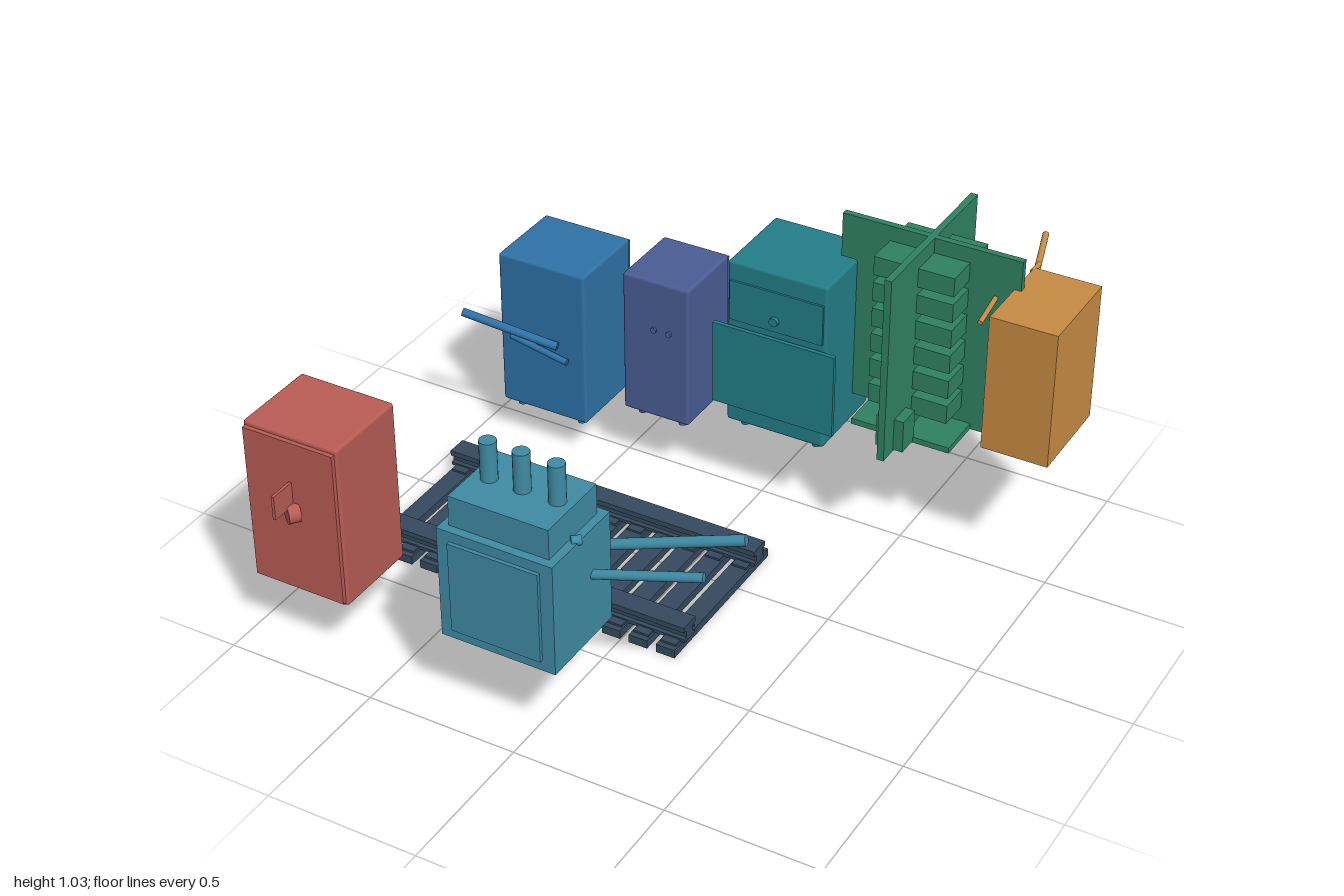
import * as THREE from 'three';
import { RoundedBoxGeometry } from 'three/addons/geometries/RoundedBoxGeometry.js';

const V = (x, y, z) => new THREE.Vector3(x, y, z);

// group with its own colour and helpers for adding parts
function unit(name, color) {
  const group = new THREE.Group();
  group.name = name;
  const material = new THREE.MeshStandardMaterial({ color });
  const add = (part, geometry) => {
    const m = new THREE.Mesh(geometry, material);
    m.name = part;
    group.add(m);
    return m;
  };
  // box from its min and max on each axis
  const box = (part, x0, x1, y0, y1, z0, z1, round = 0) => {
    const w = x1 - x0, h = y1 - y0, d = z1 - z0;
    const g = round ? new RoundedBoxGeometry(w, h, d, 2, round) : new THREE.BoxGeometry(w, h, d);
    const m = add(part, g);
    m.position.set((x0 + x1) / 2, (y0 + y1) / 2, (z0 + z1) / 2);
    return m;
  };
  // cylinder between two points
  const rod = (part, a, b, r, sides = 16) => {
    const m = add(part, new THREE.CylinderGeometry(r, r, a.distanceTo(b), sides));
    m.position.copy(a).add(b).multiplyScalar(0.5);
    m.quaternion.setFromUnitVectors(V(0, 1, 0), b.clone().sub(a).normalize());
    return m;
  };
  return { group, add, box, rod };
}

// rounded cabinet on four feet with a thin door on one side (door = 1 front, -1 back)
function cabinet(name, color, [x0, x1, y0, y1, z0, z1], door) {
  const u = unit(name, color);
  u.box('body', x0, x1, y0, y1, z0, z1, 0.01);
  const zf = door > 0 ? z1 : z0;
  u.box('door', x0 + 0.008, x1 - 0.008, y0 + 0.015, y1 - 0.015,
    Math.min(zf, zf + door * 0.014), Math.max(zf, zf + door * 0.014));
  for (const x of [x0 + 0.045, x1 - 0.045])
    for (const z of [z0 + 0.045, z1 - 0.045])
      u.rod('foot', V(x, y0 - 0.028, z), V(x, y0 + 0.01, z), 0.014);
  return u;
}

function redCabinet() {
  const u = cabinet('redCabinet', 0xb85c55, [-0.96, -0.63, 0.22, 0.775, 0.61, 0.9], 1);
  u.box('handlePlate', -0.80, -0.79, 0.54, 0.62, 0.91, 1.0);
  u.rod('doorKnob', V(-0.775, 0.52, 0.91), V(-0.797, 0.52, 0.94), 0.03);
  u.rod('rearKnob', V(-0.795, 0.485, 0.602), V(-0.795, 0.485, 0.62), 0.01);
  return u.group;
}

function blueCabinet() {
  const u = cabinet('blueCabinet', 0x2e72a6, [-0.905, -0.585, 0.14, 0.698, -0.66, -0.37], -1);
  u.rod('upperLever', V(-0.998, 0.49, -0.29), V(-0.68, 0.42, -0.355), 0.014);
  u.rod('lowerLever', V(-0.855, 0.41, -0.355), V(-0.645, 0.37, -0.355), 0.011);
  return u.group;
}

function indigoCabinet() {
  const u = cabinet('indigoCabinet', 0x4a5d94, [-0.47, -0.23, 0.22, 0.728, -0.685, -0.42], -1);
  for (const x of [-0.355, -0.3]) {
    u.rod('frontButton', V(x, 0.55, -0.43), V(x, 0.55, -0.412), 0.01);
    u.rod('rearButton', V(x, 0.6, -0.69), V(x, 0.6, -0.704), 0.008);
  }
  u.rod('doorHandle', V(-0.435, 0.46, -0.69), V(-0.422, 0.46, -0.728), 0.013);
  return u.group;
}

function tealCabinet() {
  const u = cabinet('tealCabinet', 0x237d87, [-0.09, 0.255, 0.3, 0.885, -0.73, -0.42], -1);
  u.box('frontPanel', -0.13, 0.295, 0.37, 0.66, -0.412, -0.398);
  u.box('panelMount', 0, 0.17, 0.42, 0.6, -0.43, -0.41);
  u.box('drawerFront', -0.08, 0.245, 0.68, 0.82, -0.425, -0.413);
  u.rod('drawerKnob', V(0.08, 0.72, -0.42), V(0.08, 0.72, -0.4), 0.015);
  u.box('topTrim', -0.08, 0.245, 0.828, 0.874, -0.735, -0.722);
  return u.group;
}

// stack of blocks divided by two crossing plates
function greenTower() {
  const u = unit('greenTower', 0x2f8164);
  u.box('widePlate', 0.2, 0.8, 0.395, 1.035, -0.64, -0.618);
  u.box('crossPlate', 0.487, 0.51, 0.395, 1.035, -0.925, -0.325);
  u.box('basePlate', 0.33, 0.665, 0.395, 0.415, -0.795, -0.462);
  u.box('frontBox', 0.45, 0.542, 0.4, 0.51, -0.47, -0.39);
  for (let i = 0; i < 6; i++) {
    const y = 0.465 + i * 0.091;
    u.box('block', 0.362, 0.63, y, y + 0.064, -0.747, -0.51);
  }
  return u.group;
}

function orangeBox() {
  const u = unit('orangeBox', 0xc68b43);
  u.box('body', 0.778, 0.998, 0.47, 0.935, -0.765, -0.44);
  // tilted dials, each with a hub and a short shaft
  const axis = V(-0.32, 0, -0.95).normalize();
  for (const [x, y] of [[0.925, 0.8], [0.845, 0.61]]) {
    const c = V(x, y, -0.803);
    const at = (t) => c.clone().addScaledVector(axis, t);
    u.rod('dial', at(-0.009), at(0.009), 0.056, 24);
    u.rod('hub', at(0), at(0.028), 0.018);
    u.rod('shaft', at(-0.05), at(0), 0.012);
  }
  u.rod('longLever', V(0.785, 0.885, -0.75), V(0.715, 0.918, -0.997), 0.01);
  u.rod('shortLever', V(0.728, 0.872, -0.49), V(0.715, 0.893, -0.675), 0.008);
  u.rod('peg', V(0.778, 0.928, -0.75), V(0.778, 0.928, -0.805), 0.008);
  return u.group;
}

function switchBox() {
  const u = unit('switchBox', 0x3f8ba3);
  u.box('body', -0.26, 0.122, 0.3, 0.675, 0.645, 0.953);
  u.box('frontDoor', -0.218, 0.08, 0.337, 0.642, 0.95, 0.965);
  u.box('topHousing', -0.235, 0.095, 0.67, 0.775, 0.67, 0.925);
  for (const x of [-0.18, -0.07, 0.045])
    u.rod('terminal', V(x, 0.77, 0.795), V(x, 0.905, 0.795), 0.026, 20);
  u.rod('longLever', V(0.085, 0.53, 0.62), V(0.488, 0.622, 0.512), 0.017);
  u.rod('shortLever', V(0.115, 0.515, 0.742), V(0.438, 0.572, 0.665), 0.015);
  u.rod('rearStub', V(-0.16, 0.52, 0.66), V(-0.225, 0.55, 0.622), 0.018);
  u.rod('cornerKnob', V(0.1, 0.675, 0.82), V(0.123, 0.675, 0.8), 0.015);
  return u.group;
}

function track() {
  const u = unit('track', 0x34495e);
  const railZ = [-0.12, 0.32];
  // rail cross-section
  const half = [[0.03, 0.03], [0.03, 0.041], [0.02, 0.045], [0.02, 0.068], [0.035, 0.07], [0.035, 0.088]];
  const outline = [...half, ...half.map(([x, y]) => [-x, y]).reverse()];
  const shape = new THREE.Shape(outline.map(([x, y]) => new THREE.Vector2(x, y)));
  for (const z of railZ) {
    const rail = u.add('rail', new THREE.ExtrudeGeometry(shape, { depth: 1.128, bevelEnabled: false }));
    rail.rotation.y = Math.PI / 2;
    rail.position.set(-0.932, 0, z);
  }
  // sleepers with a tie plate under each rail
  for (let i = 0; i < 12; i++) {
    const x = -0.888 + i * 0.0948;
    u.box('sleeper', x - 0.032, x + 0.032, 0, 0.029, -0.195, 0.397);
    for (const z of railZ)
      u.box('tiePlate', x - 0.026, x + 0.026, 0.025, 0.036, z - 0.058, z + 0.058);
  }
  // joint box beside the front rail
  u.box('jointPlate', -0.425, -0.315, 0.083, 0.1, 0.365, 0.408);
  u.box('jointBox', -0.425, -0.315, 0.03, 0.09, 0.385, 0.408);
  u.box('jointRib', -0.4, -0.335, 0.062, 0.08, 0.35, 0.422);
  return u.group;
}

export function createModel() {
  const model = new THREE.Group();
  model.name = 'tracksideEquipment';
  model.add(redCabinet(), blueCabinet(), indigoCabinet(), tealCabinet(),
    greenTower(), orangeBox(), switchBox(), track());
  return model;
}
